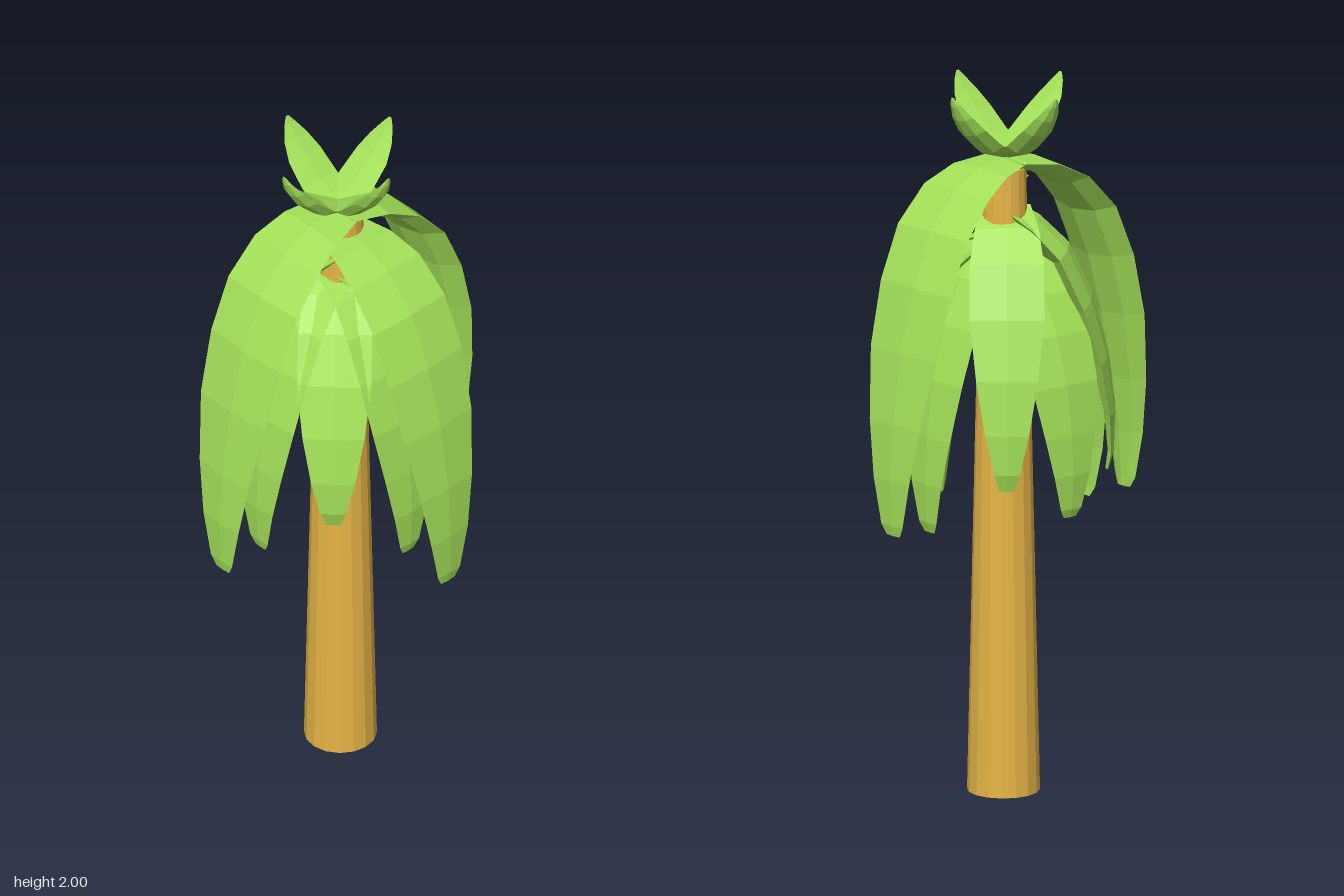
import * as THREE from 'three';

const leafMat = new THREE.MeshStandardMaterial({ color: 0xa3e058, flatShading: true });
const barkMat = new THREE.MeshStandardMaterial({ color: 0xe6b446, flatShading: true });

// Blade swept along +z from stations [reach, height, halfWidth]:
// nearly flat on top with a slight ridge, keeled underneath to the given depth.
function bladeGeometry(stations, ridge, depth) {
  const maxW = Math.max(...stations.map((s) => s[2]));
  const section = [[1, 0], [0, ridge], [-1, 0], [-0.6, -0.7 * depth], [0, -depth], [0.6, -0.7 * depth]];
  const n = section.length;
  const rings = stations.map(([z, y, w], k) => {
    const a = stations[Math.max(k - 1, 0)];
    const b = stations[Math.min(k + 1, stations.length - 1)];
    const len = Math.hypot(b[0] - a[0], b[1] - a[1]);
    const ny = (b[0] - a[0]) / len, nz = -(b[1] - a[1]) / len;
    const f = w / maxW;
    return section.map(([u, v]) => [u * w, y + ny * v * f, z + nz * v * f]);
  });
  const pos = [];
  const tri = (a, b, c) => pos.push(...a, ...b, ...c);
  for (let k = 0; k < rings.length - 1; k++) {
    const p = rings[k], q = rings[k + 1];
    for (let i = 0; i < n; i++) {
      const j = (i + 1) % n;
      tri(p[i], p[j], q[j]);
      tri(p[i], q[j], q[i]);
    }
  }
  // End caps, fanned from the ridge
  const first = rings[0], last = rings[rings.length - 1];
  for (let i = 2; i < n; i++) {
    const j = (i + 1) % n;
    tri(last[1], last[i], last[j]);
    tri(first[1], first[j], first[i]);
  }
  const g = new THREE.BufferGeometry();
  g.setAttribute('position', new THREE.Float32BufferAttribute(pos, 3));
  g.computeVertexNormals();
  return g;
}

const upperFrond = [
  [-0.01, 1.79, 0.075], [0.1, 1.775, 0.105], [0.19, 1.73, 0.127], [0.28, 1.63, 0.137], [0.345, 1.48, 0.137],
  [0.393, 1.3, 0.127], [0.425, 1.1, 0.098], [0.437, 0.94, 0.07], [0.435, 0.81, 0.042], [0.43, 0.78, 0.026],
];
const lowerFrond = [
  [0, 1.65, 0.07], [0.09, 1.61, 0.092], [0.16, 1.53, 0.11], [0.22, 1.4, 0.117], [0.265, 1.24, 0.11],
  [0.288, 1.07, 0.085], [0.297, 0.93, 0.06], [0.292, 0.81, 0.035], [0.285, 0.78, 0.02],
];
const middleFrond = [
  [0, 1.66, 0.065], [0.08, 1.61, 0.088], [0.16, 1.53, 0.102], [0.225, 1.39, 0.102], [0.27, 1.23, 0.085],
  [0.292, 1.08, 0.06], [0.292, 0.97, 0.035], [0.28, 0.92, 0.02],
];
const crownLeaf = [
  [0, 1.82, 0.05], [0.07, 1.85, 0.064], [0.13, 1.905, 0.058], [0.165, 1.945, 0.042], [0.19, 1.98, 0.02], [0.2, 2.0, 0.005],
];

export function createModel() {
  const tree = new THREE.Group();
  tree.name = 'palmTree';

  // Tapered trunk
  const trunk = new THREE.Mesh(new THREE.CylinderGeometry(0.062, 0.1, 1.77, 16), barkMat);
  trunk.name = 'trunk';
  trunk.position.set(0.008, 0.885, -0.01);
  tree.add(trunk);

  // Each entry: heading in degrees, length factor, drop of the root
  const addBlades = (name, stations, ridge, depth, list) => {
    const group = new THREE.Group();
    group.name = name + 's';
    list.forEach(([degrees, stretch = 1, drop = 0], i) => {
      const top = stations[0][1];
      const fitted = stations.map(([z, y, w]) => [z, top - drop + (y - top) * stretch, w]);
      const blade = new THREE.Mesh(bladeGeometry(fitted, ridge, depth), leafMat);
      blade.name = name + (i + 1);
      blade.rotation.y = THREE.MathUtils.degToRad(degrees);
      group.add(blade);
    });
    tree.add(group);
  };

  // Three long upper fronds, four under them, four short ones between
  addBlades('upperFrond', upperFrond, 0.01, 0.05, [[46, 0.97, 0.06], [-45.5], [136.5, 0.98]]);
  addBlades('lowerFrond', lowerFrond, 0.01, 0.04, [[44, 0.93, 0.06], [-46, 0.93, 0.06], [135, 0.93, 0.06], [-140, 0.8, 0.12]]);
  addBlades('middleFrond', middleFrond, 0.01, 0.04, [[-1, 0.92, 0.06], [91, 0.92, 0.06], [183], [-94]]);

  // Upright young leaves at the top
  addBlades('crownLeaf', crownLeaf, 0.004, 0.035, [[45], [-45], [135], [-135]]);
  return tree;
}
